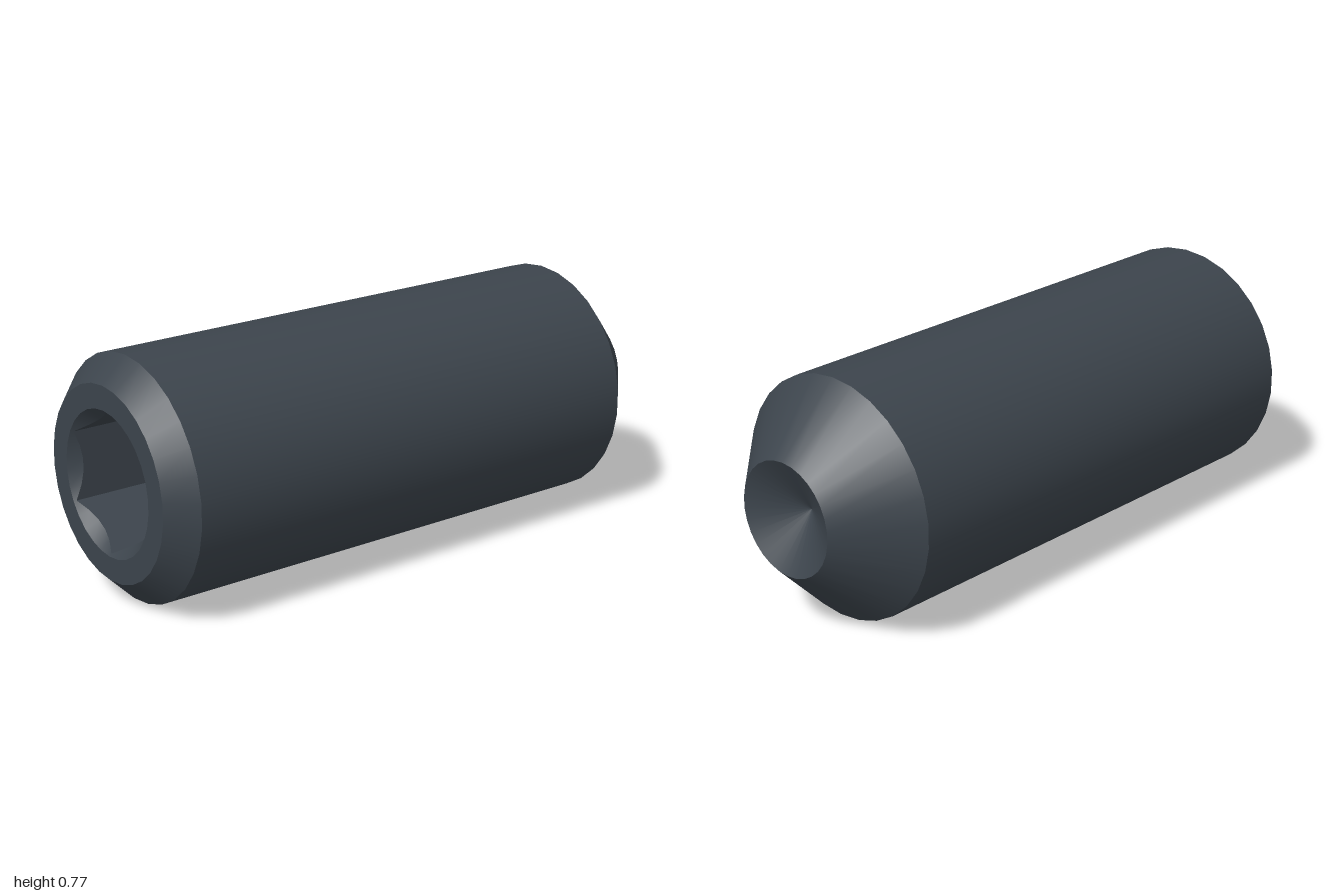
import * as THREE from 'three';
import { toCreasedNormals } from 'three/addons/utils/BufferGeometryUtils.js';

const SEGMENTS = 30;
const HALF = 0.968;          // half length along the axis
const RADIUS = 0.387;        // shank
const HEAD_RADIUS = 0.307;   // flat around the socket
const TIP_RADIUS = 0.182;    // rim of the cup point
const MOUTH = 0.23;          // countersink rim
const FLAT = 0.193;          // half the socket width across flats
const FLOOR = -HALF + 0.58;  // socket floor

// A strip joining two closed rings given as functions of the angle: t => [radius, height]
function ringStrip(from, to) {
  const point = (ring, i) => {
    const t = (i / SEGMENTS) * Math.PI * 2;
    const [r, y] = ring(t);
    return [r * Math.sin(t), y, r * Math.cos(t)];
  };
  const positions = [];
  for (let i = 0; i < SEGMENTS; i++) {
    const a = point(from, i), b = point(from, i + 1);
    const c = point(to, i + 1), d = point(to, i);
    positions.push(...a, ...b, ...d, ...c, ...d, ...b);
  }
  const geometry = new THREE.BufferGeometry();
  geometry.setAttribute('position', new THREE.Float32BufferAttribute(positions, 3));
  return toCreasedNormals(geometry, 0.6);
}

// One turned surface between two [radius, height] points
function turned(r0, y0, r1, y1, segments = SEGMENTS) {
  return new THREE.LatheGeometry([new THREE.Vector2(r0, y0), new THREE.Vector2(r1, y1)], segments);
}

export function createModel() {
  const steel = new THREE.MeshStandardMaterial({ color: 0x3c444c });
  steel.name = 'darkSteel';

  const model = new THREE.Group();
  model.name = 'setScrew';
  const add = (name, geometry) => {
    const mesh = new THREE.Mesh(geometry, steel);
    mesh.name = name;
    model.add(mesh);
  };

  // Hexagon radius by angle, with a corner at zero
  const hexRadius = (t) => {
    const sixth = Math.PI / 3;
    const local = t - Math.floor(t / sixth + 1e-6) * sixth;
    return FLAT / Math.cos(local - sixth / 2);
  };
  const scallop = (t) => [hexRadius(t), -HALF + MOUTH - hexRadius(t)];

  // Hex socket: floor, walls, and a 45 degree countersink cutting the walls in arcs
  add('socketFloor', turned(0, FLOOR, hexRadius(0), FLOOR, 6));
  add('socketWalls', ringStrip((t) => [hexRadius(t), FLOOR], scallop));
  add('socketCountersink', ringStrip(scallop, () => [MOUTH, -HALF]));

  // Outer body from socket end to point
  const chamferTop = -HALF + RADIUS - HEAD_RADIUS;
  const pointStart = HALF - (RADIUS - TIP_RADIUS);
  add('socketEndFace', turned(MOUTH, -HALF, HEAD_RADIUS, -HALF));
  add('socketEndChamfer', turned(HEAD_RADIUS, -HALF, RADIUS, chamferTop));
  add('shank', turned(RADIUS, chamferTop, RADIUS, pointStart));
  add('taperedPoint', turned(RADIUS, pointStart, TIP_RADIUS, HALF));
  add('cupHollow', turned(TIP_RADIUS, HALF, 0, HALF - 0.105));

  // Lay the axis down, turned slightly toward the front, resting on the ground
  const axis = new THREE.Vector3(0.9783, 0, 0.207).normalize();
  const up = new THREE.Vector3(0, 1, 0);
  const side = new THREE.Vector3().crossVectors(axis, up);
  model.quaternion.setFromRotationMatrix(new THREE.Matrix4().makeBasis(side, axis, up));
  model.position.set(0.012, RADIUS, 0.009);

  const group = new THREE.Group();
  group.name = 'model';
  group.add(model);
  return group;
}
